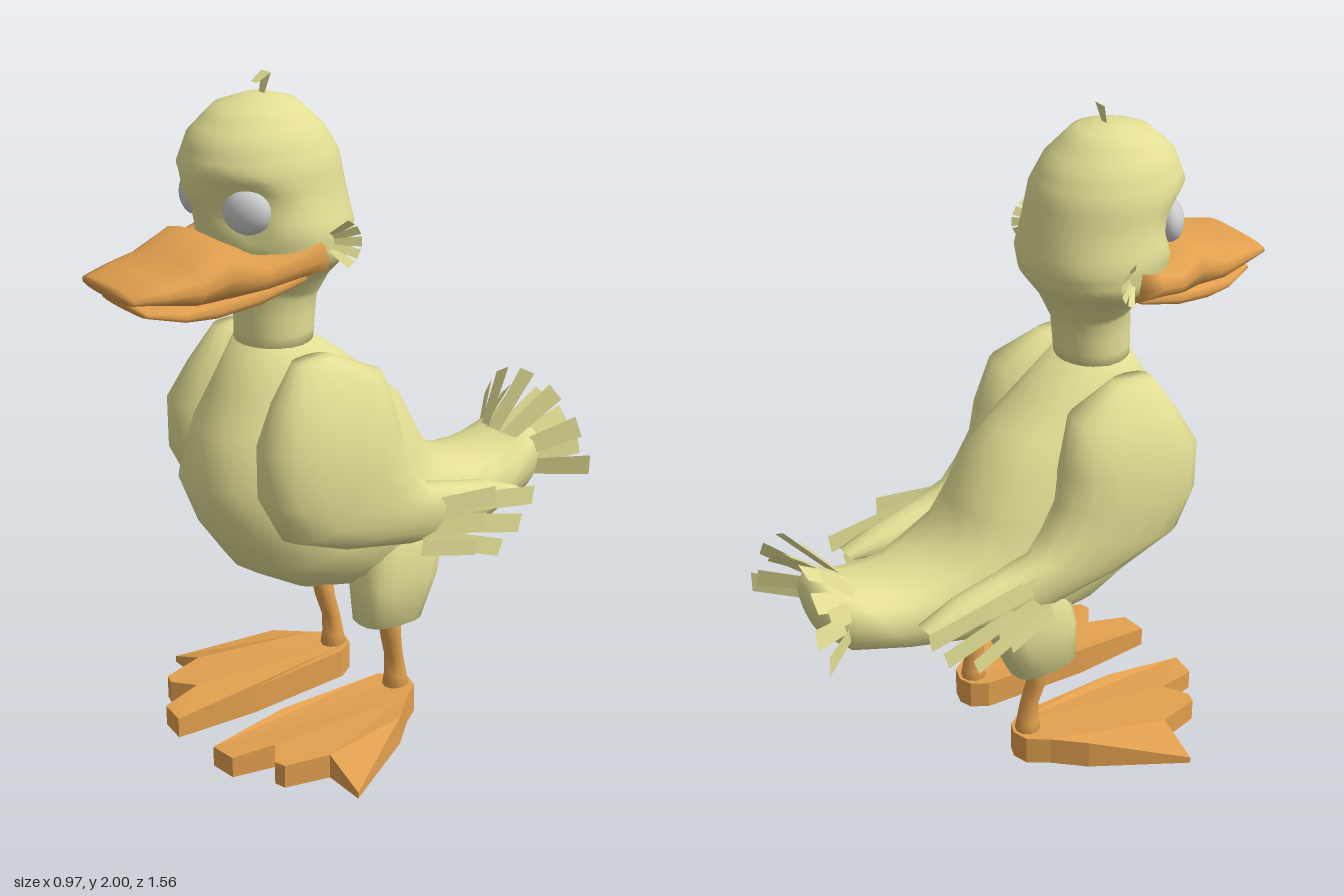
import * as THREE from 'three';

const paint = (color) => new THREE.MeshStandardMaterial({ color, side: THREE.DoubleSide });

// Skin over oval rings. Each ring: [front z, front y, back z, back y, half width, centre x]
function loft(rings, { n = 16, power = 1, split = 1, side = 1, rule } = {}) {
  const rows = [];
  rings.forEach((r, i) => {
    if (i === rings.length - 1) return rows.push(r);
    for (let k = 0; k < split; k++) rows.push(r.map((v, j) => v + (rings[i + 1][j] - v) * k / split));
  });
  const pos = [], index = [];
  const bend = (v) => Math.sign(v) * Math.abs(v) ** power;
  const centre = ([zf, yf, zb, yb, , cx = 0]) => [cx * side, (yf + yb) / 2, (zf + zb) / 2];
  for (const row of rows) {
    const [zf, yf, zb, yb, w] = row, [x, y, z] = centre(row);
    for (let a = 0; a < n; a++) {
      const t = a / n * Math.PI * 2, c = bend(Math.cos(t)), s = bend(Math.sin(t));
      const p = new THREE.Vector3(x + w * s, y + (yf - yb) / 2 * c, z + (zf - zb) / 2 * c);
      if (rule) rule(p);
      pos.push(p.x, p.y, p.z);
    }
  }
  const last = (rows.length - 1) * n, c0 = rows.length * n;
  pos.push(...centre(rows[0]), ...centre(rows[rows.length - 1]));
  for (let a = 0; a < n; a++) {
    const b = (a + 1) % n;
    for (let i = 0; i < last; i += n) index.push(i + a, i + n + a, i + n + b, i + a, i + n + b, i + b);
    index.push(c0, a, b, c0 + 1, last + b, last + a);
  }
  const g = new THREE.BufferGeometry();
  g.setAttribute('position', new THREE.Float32BufferAttribute(pos, 3));
  g.setIndex(index);
  g.computeVertexNormals();
  return g;
}

// Flat strip from p to q, spread along direction d
function strip(p, q, d, w0, w1) {
  const [P, Q, D] = [p, q, d].map((v) => new THREE.Vector3(...v));
  D.normalize();
  const at = (v, w) => v.clone().addScaledVector(D, w / 2);
  const c = [at(P, -w0), at(P, w0), at(Q, w1), at(Q, -w1)];
  const g = new THREE.BufferGeometry().setFromPoints([c[0], c[1], c[2], c[0], c[2], c[3]]);
  g.computeVertexNormals();
  return g;
}

export function createModel() {
  const model = new THREE.Group();
  const yellow = paint(0xe2de94), orange = paint(0xe2a04e), grey = paint(0xcccccc);
  const add = (name, geometry, material, parent = model) => {
    const m = new THREE.Mesh(geometry, material);
    m.name = name;
    parent.add(m);
    return m;
  };
  const group = (name) => {
    const g = new THREE.Group();
    g.name = name;
    model.add(g);
    return g;
  };

  // Head, pressed in at the eye sockets
  add('head', loft([
    [.34, 1.945, .26, 1.945, .04], [.43, 1.915, .19, 1.925, .11], [.5, 1.85, .11, 1.85, .17],
    [.53, 1.77, .07, 1.78, .2], [.525, 1.7, .05, 1.68, .21], [.49, 1.62, .035, 1.58, .235],
    [.45, 1.52, .05, 1.52, .23], [.4, 1.45, .1, 1.45, .16], [.37, 1.4, .135, 1.37, .115],
    [.37, 1.22, .15, 1.24, .115],
  ], {
    n: 32, split: 3,
    rule: (p) => {
      const d = Math.hypot(Math.abs(p.x) - .13, p.y - 1.67) / .1;
      if (p.z > .3 && d < 1) p.z -= .04 * Math.min(1, 2 * (1 - d));
    },
  }), yellow);

  // Torso running back into the tail
  add('body', loft([
    [.37, 1.25, .15, 1.25, .115], [.44, 1.13, .03, 1.16, .15], [.51, 1.02, -.07, 1.08, .18],
    [.555, .86, -.15, 1.01, .22], [.49, .7, -.22, .87, .235], [.4, .57, -.27, .79, .245],
    [.25, .48, -.36, .75, .235], [.09, .43, -.44, .73, .205], [-.2, .44, -.52, .735, .175],
    [-.42, .49, -.6, .75, .165], [-.61, .54, -.67, .79, .14], [-.68, .6, -.71, .76, .08],
  ], { n: 20, power: .88 }), yellow);

  // Beak, wrapping round to the cheeks
  add('upperBeak', loft([
    [.785, 1.47, .78, 1.505, .135], [.7, 1.455, .7, 1.525, .16], [.6, 1.435, .6, 1.545, .185],
    [.52, 1.43, .5, 1.595, .195], [.42, 1.45, .42, 1.56, .23], [.33, 1.465, .33, 1.585, .25],
    [.25, 1.47, .265, 1.61, .265],
  ], { power: .75 }), orange);
  add('lowerBeak', loft([
    [.735, 1.425, .735, 1.45, .12], [.64, 1.4, .64, 1.445, .16], [.55, 1.39, .55, 1.46, .175],
    [.43, 1.41, .43, 1.48, .2], [.29, 1.455, .29, 1.5, .21],
  ], { power: .75 }), orange);

  // Crest
  add('crest', strip([0, 1.93, .29], [0, 2, .27], [1, 0, 0], .02, .045), yellow);
  add('crestCurl', strip([0, 2, .27], [0, 1.975, .31], [1, 0, 0], .045, .03), yellow);

  // Tail fan, alternating long and short feathers
  const fan = group('tailFan');
  for (let i = 0; i < 13; i++) {
    const a = (i / 12 - .5) * 3.2, s = Math.sin(a), c = Math.cos(a), r = i % 2 ? .19 : .245;
    add('tailFeather', strip([s * .1, .65 + c * .1, -.61 + .03 * c],
      [s * r, .67 + c * r, (i % 2 ? -.785 : -.765) + .05 * c], [c, -s, 0], .05, .065), yellow, fan);
  }

  for (const side of [1, -1]) {
    const tag = side > 0 ? 'left' : 'right';
    const X = (x) => x * side;

    // Shallow eye turned slightly outwards
    const eye = add(tag + 'Eye', new THREE.SphereGeometry(1, 16, 12), grey);
    eye.scale.set(.07, .062, .042);
    eye.position.set(X(.128), 1.668, .427);
    eye.rotation.y = X(.5);

    // Folded wing with loose feathers
    add(tag + 'Wing', loft([
      [.33, 1.235, .2, 1.24, .04, .195], [.4, 1.13, .05, 1.17, .09, .21],
      [.46, 1.02, .01, 1.02, .115, .23], [.46, .86, -.01, .92, .115, .23],
      [.4, .74, -.06, .84, .105, .235], [.22, .67, -.11, .78, .085, .24],
      [-.03, .61, -.22, .75, .065, .235], [-.2, .6, -.35, .72, .055, .23],
      [-.44, .64, -.47, .67, .035, .235],
    ], { side, power: .85 }), yellow);
    const wing = group(tag + 'WingFeathers');
    for (const [z0, y0, z1, y1, x1, w] of [
      [-.06, .73, -.48, .66, .3, .06], [-.06, .68, -.43, .58, .3, .06],
      [-.07, .63, -.34, .53, .315, .055], [-.06, .72, -.3, .72, .33, .06],
      [-.06, .66, -.27, .64, .325, .06], [-.06, .6, -.23, .57, .33, .05],
    ]) add('wingFeather', strip([X(.285), y0, z0], [X(x1), y1, z1], [0, z0 - z1, y1 - y0], w, w), yellow, wing);

    // Cheek tuft lying back against the head
    const tuft = group(tag + 'CheekTuft');
    for (let i = 0; i < 5; i++) {
      const a = (i - 2) * .5, s = Math.sin(a), c = Math.cos(a);
      add('cheekFeather', strip([X(.235), 1.575 + s * .025, .24 - c * .02],
        [X(.278), 1.575 + s * .07, .235 - c * .075], [0, c, s], .018, .028), yellow, tuft);
    }

    // Thigh and shank
    add(tag + 'Thigh', loft([
      [.0, .68, -.16, .68, .05, .15], [.06, .58, -.22, .58, .095, .15],
      [.085, .47, -.19, .47, .095, .16], [.085, .345, -.13, .33, .07, .17],
    ], { side, power: .7 }), yellow);
    add(tag + 'Leg', loft([
      [.015, .38, -.06, .38, .036, .175], [-.01, .26, -.07, .26, .033, .168],
      [-.03, .19, -.085, .19, .03, .16], [-.03, .13, -.1, .12, .033, .16], [-.02, .06, -.11, .06, .045, .16],
    ], { n: 10, side }), orange);

    // Webbed foot, thinner towards the toes
    const outline = [
      [.12, -.1], [.16, -.115], [.21, -.1], [.25, -.04], [.33, .05], [.485, .325], [.35, .325],
      [.315, .46], [.28, .47], [.21, .42], [.18, .55], [.095, .56], [.075, .3], [.09, -.05],
    ];
    const foot = new THREE.ExtrudeGeometry(
      new THREE.Shape(outline.map(([x, z]) => new THREE.Vector2(X(x), -z))), { depth: 1, bevelEnabled: false });
    foot.rotateX(-Math.PI / 2);
    const p = foot.attributes.position;
    for (let i = 0; i < p.count; i++) {
      const h = .092 - .45 * Math.max(0, Math.abs(p.getX(i)) - .33) - .09 * Math.max(0, p.getZ(i) - .25);
      p.setY(i, p.getY(i) > .5 ? Math.max(.02, h) : 0);
    }
    foot.computeVertexNormals();
    add(tag + 'Foot', foot, orange);
  }
  return model;
}
